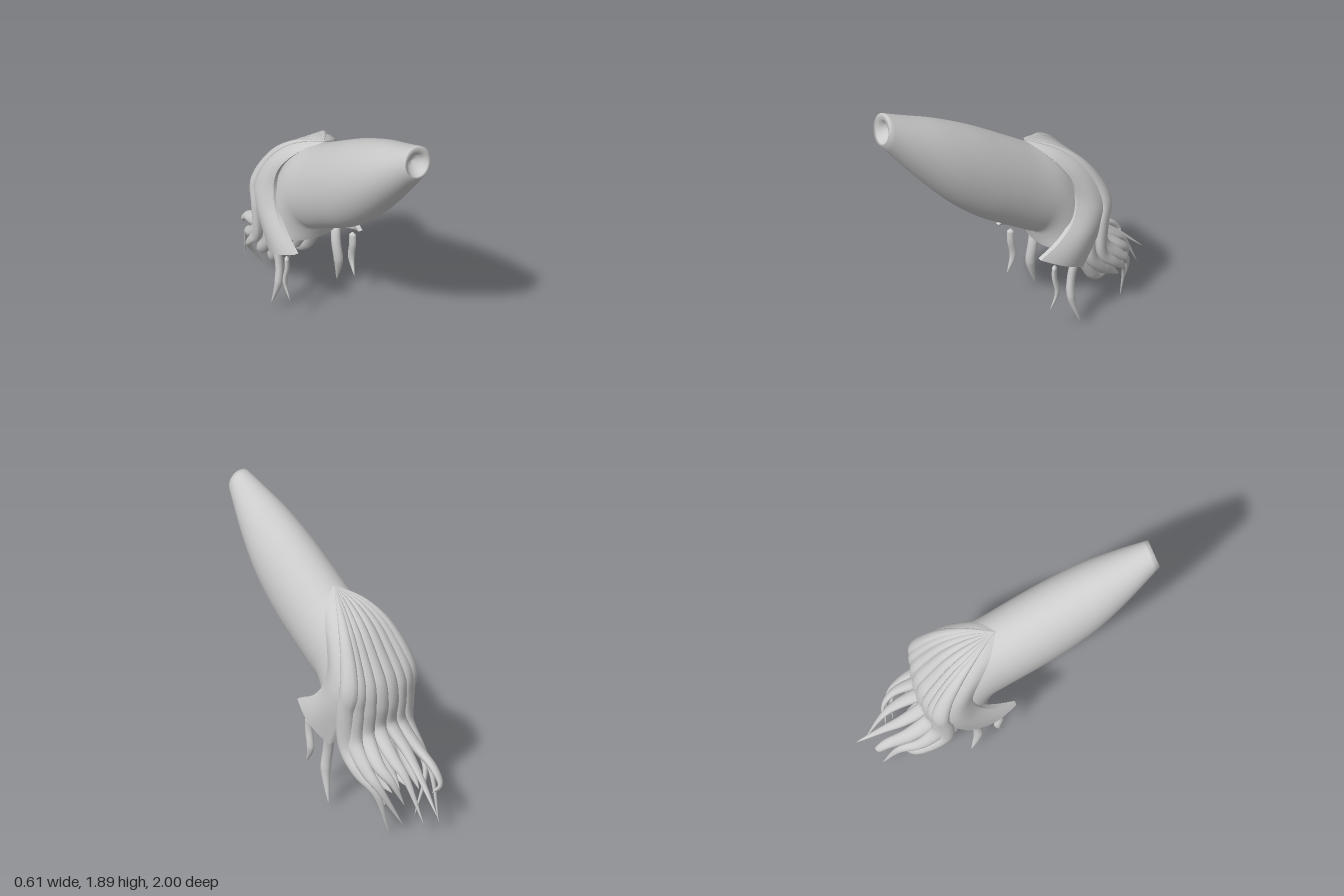
import * as THREE from 'three';
import { toCreasedNormals } from 'three/addons/utils/BufferGeometryUtils.js';

const V = (x, y, z) => new THREE.Vector3(x, y, z);
const spline = pts => new THREE.CatmullRomCurve3(pts.map(p => V(...p)), false, 'catmullrom', 0.5);
const solid = new THREE.MeshStandardMaterial({ color: 0xcccccc, roughness: 0.7 });
const sheet = new THREE.MeshStandardMaterial({ color: 0xcccccc, roughness: 0.7, side: THREE.DoubleSide });

// Skin a list of point rows; closed rows wrap round into a tube
function skin(rows, closed) {
  const n = rows[0].length, index = [];
  for (let i = 0; i < rows.length - 1; i++)
    for (let j = 0; j < (closed ? n : n - 1); j++) {
      const k = (j + 1) % n, a = i * n + j, b = i * n + k;
      index.push(a, b, a + n, b, b + n, a + n);
    }
  const g = new THREE.BufferGeometry().setFromPoints(rows.flat());
  g.setIndex(index);
  g.computeVertexNormals();
  return g;
}

function add(group, name, geometry, material = solid) {
  const m = new THREE.Mesh(geometry, material);
  m.name = name;
  group.add(m);
}

// Ring through a top and a bottom point with a given half width
function section(w, top, bottom, n = 40) {
  const c = top.clone().add(bottom).multiplyScalar(0.5), u = top.clone().sub(c);
  return Array.from({ length: n }, (_, j) => {
    const a = j / n * Math.PI * 2;
    return V(w * Math.cos(a), c.y + u.y * Math.sin(a), c.z + u.z * Math.sin(a));
  });
}

// Tapered lock of hair along a path; grow = share of the path used to reach full width
function lock(points, width, thick, grow) {
  const path = spline(points), rows = [], steps = 48, n = 12;
  for (let i = 0; i <= steps; i++) {
    const t = i / steps, p = path.getPoint(t), T = path.getTangent(t);
    const W = V(p.x * 3, 0.4, -0.6).cross(T).normalize(), N = T.clone().cross(W);
    const rise = Math.min(1, 0.06 + t / grow);
    const fall = Math.pow(Math.min(1, (1 - t) / 0.36), 0.75);
    const s = Math.max(0.01, rise * fall);
    rows.push(Array.from({ length: n }, (_, j) => {
      const a = j / n * Math.PI * 2;
      return p.clone().addScaledVector(W, Math.cos(a) * width * s)
        .addScaledVector(N, Math.sin(a) * thick * s);
    }));
  }
  return skin(rows, true);
}

export function createModel() {
  const model = new THREE.Group();
  model.name = 'longHeadWithHair';

  // Long tapering head that bends down to an open neck:
  // half width, top z, top y, bottom z, bottom y, from the neck to the front
  const stations = [
    [0.245, -0.42, 0.68, -0.07, 0.66], [0.235, -0.4, 1.0, -0.05, 0.72], [0.225, -0.24, 1.265, -0.03, 0.765],
    [0.22, 0, 1.415, 0.02, 0.79], [0.22, 0.2, 1.54, 0.19, 0.9], [0.215, 0.4, 1.66, 0.37, 1.02],
    [0.195, 0.62, 1.77, 0.56, 1.19], [0.15, 0.8, 1.845, 0.76, 1.42], [0.085, 0.95, 1.91, 1.0, 1.73],
  ];
  const tops = spline(stations.map(s => [s[0], s[2], s[1]]));
  const bottoms = spline(stations.map(s => [0, s[4], s[3]]));
  const headRows = [];
  for (let i = 0; i <= 48; i++) {
    const t = tops.getPoint(i / 48), b = bottoms.getPoint(i / 48);
    headRows.push(section(t.x, V(0, t.y, t.z), b));
  }
  // Rounded rim running into a hollow at the blunt front end
  const hollow = [[0.068, 1.875, 0.955, 1.735, 0.985], [0.055, 1.855, 0.935, 1.75, 0.955],
    [0.035, 1.835, 0.92, 1.77, 0.93], [0.002, 1.804, 0.915, 1.8, 0.915]];
  for (const h of hollow) headRows.push(section(h[0], V(0, h[1], h[2]), V(0, h[3], h[4])));
  add(model, 'head', skin(headRows, true), sheet);

  // Guide curves of the hair cap: front edge, back edge of the side panel, and middle of the back
  const front = spline([[0, 1.425, 0], [0.12, 1.36, -0.075], [0.19, 1.26, -0.155], [0.225, 1.15, -0.215],
    [0.24, 1.02, -0.235], [0.25, 0.88, -0.195], [0.255, 0.77, -0.09], [0.255, 0.69, 0.05]]);
  const side = spline([[0, 1.425, -0.01], [0.1, 1.365, -0.17], [0.175, 1.26, -0.3], [0.23, 1.11, -0.4],
    [0.268, 0.95, -0.445], [0.278, 0.8, -0.41], [0.27, 0.65, -0.345], [0.26, 0.51, -0.28]]);
  const back = spline([[0, 1.425, -0.01], [0, 1.365, -0.17], [0, 1.25, -0.31], [0, 1.08, -0.42],
    [0, 0.94, -0.49], [0, 0.81, -0.51], [0, 0.72, -0.49], [0, 0.66, -0.46]]);
  const capPoint = (t, a) => {
    const s = side.getPoint(t), p = s.clone().lerp(back.getPoint(t), Math.sin(a) ** 1.5);
    p.x = s.x * Math.cos(a);
    return p;
  };

  // Thin cap beneath the locks
  const capRows = [];
  for (let i = 0; i <= 28; i++)
    capRows.push(Array.from({ length: 33 }, (_, j) => capPoint(i / 28, j / 32 * Math.PI)));
  add(model, 'hairCap', skin(capRows, false), sheet);

  // Thick side panels sweeping forward to a point, closed along the lower edge
  for (const m of [1, -1]) {
    const rows = [];
    for (let i = 0; i <= 32; i++) {
      const f = front.getPoint(i / 32), s = side.getPoint(i / 32), grow = Math.min(1, i / 20);
      const strip = inset => Array.from({ length: 13 }, (_, j) => {
        const p = f.clone().lerp(s, j / 12);
        p.x = m * (p.x + 0.035 * Math.sin(j / 12 * Math.PI) * grow - inset * grow);
        return p;
      });
      rows.push([...strip(0), ...strip(0.03).reverse()]);
    }
    const last = rows[32];
    rows.push(last.map((p, j) => p.clone().lerp(last[25 - j], 0.5)));
    add(model, m > 0 ? 'leftSidePanel' : 'rightSidePanel', toCreasedNormals(skin(rows, true), 0.8), sheet);
  }

  // Main locks fan out from the crown, then trail back in uneven tails
  const tails = [
    [[0.25, 0.57, -0.44], [0.25, 0.44, -0.55], [0.2, 0.31, -0.67], [0.13, 0.02, -0.71]],
    [[0.22, 0.61, -0.47], [0.23, 0.47, -0.6], [0.2, 0.36, -0.7], [0.08, 0.1, -0.78]],
    [[0.14, 0.63, -0.49], [0.17, 0.5, -0.64], [0.14, 0.41, -0.74], [0.08, 0.25, -0.79]],
    [[0.05, 0.65, -0.5], [0.07, 0.52, -0.66], [0.06, 0.42, -0.78], [0.04, 0.17, -0.92]],
    [[-0.05, 0.65, -0.5], [-0.05, 0.52, -0.66], [-0.03, 0.41, -0.81], [0, 0.24, -1]],
    [[-0.14, 0.63, -0.49], [-0.15, 0.5, -0.65], [-0.14, 0.44, -0.8], [-0.13, 0.36, -0.88], [-0.08, 0.31, -0.86]],
    [[-0.22, 0.61, -0.47], [-0.22, 0.46, -0.6], [-0.18, 0.35, -0.75], [-0.14, 0.06, -0.87]],
    [[-0.25, 0.57, -0.44], [-0.25, 0.44, -0.54], [-0.21, 0.3, -0.66], [-0.08, 0.06, -0.71]],
  ];
  tails.forEach((tail, i) => {
    const a = 0.38 + i / (tails.length - 1) * (Math.PI - 0.76);
    const crown = [0, 1, 2, 3, 4, 5].map(r => capPoint(r / 7, a).toArray());
    add(model, 'hairLock' + (i + 1), lock([...crown, ...tail], 0.058, 0.038, 0.45));
  });

  // Inner locks under the head and loose strands beside the face
  const loose = [
    ['CentreLock', 0.042, 0.04, 0.05, [[0.035, 0.8, -0.25], [0.04, 0.6, -0.34], [0.05, 0.42, -0.42], [0.05, 0.29, -0.52], [0.03, 0.23, -0.62]]],
    ['InnerLock', 0.05, 0.045, 0.1, [[0.12, 0.72, -0.38], [0.13, 0.54, -0.35], [0.13, 0.4, -0.41], [0.11, 0.27, -0.5], [0.09, 0.23, -0.62]]],
    ['OuterLock', 0.05, 0.045, 0.1, [[0.2, 0.72, -0.37], [0.2, 0.54, -0.38], [0.19, 0.42, -0.46], [0.16, 0.32, -0.57], [0.14, 0.22, -0.68]]],
    ['JawStrand', 0.034, 0.028, 0.2, [[0.24, 0.64, -0.26], [0.22, 0.45, -0.22], [0.235, 0.28, -0.21], [0.26, 0.07, -0.27]]],
    ['FrontStrand', 0.024, 0.016, 0.08, [[0.25, 0.61, -0.06], [0.25, 0.51, -0.06], [0.255, 0.38, -0.08], [0.25, 0.26, -0.03]]],
  ];
  for (const [name, width, thick, grow, pts] of loose)
    for (const m of [1, -1])
      add(model, (m > 0 ? 'left' : 'right') + name,
        lock(pts.map(([x, y, z]) => [x * m, y, z]), width, thick, grow));

  return model;
}
